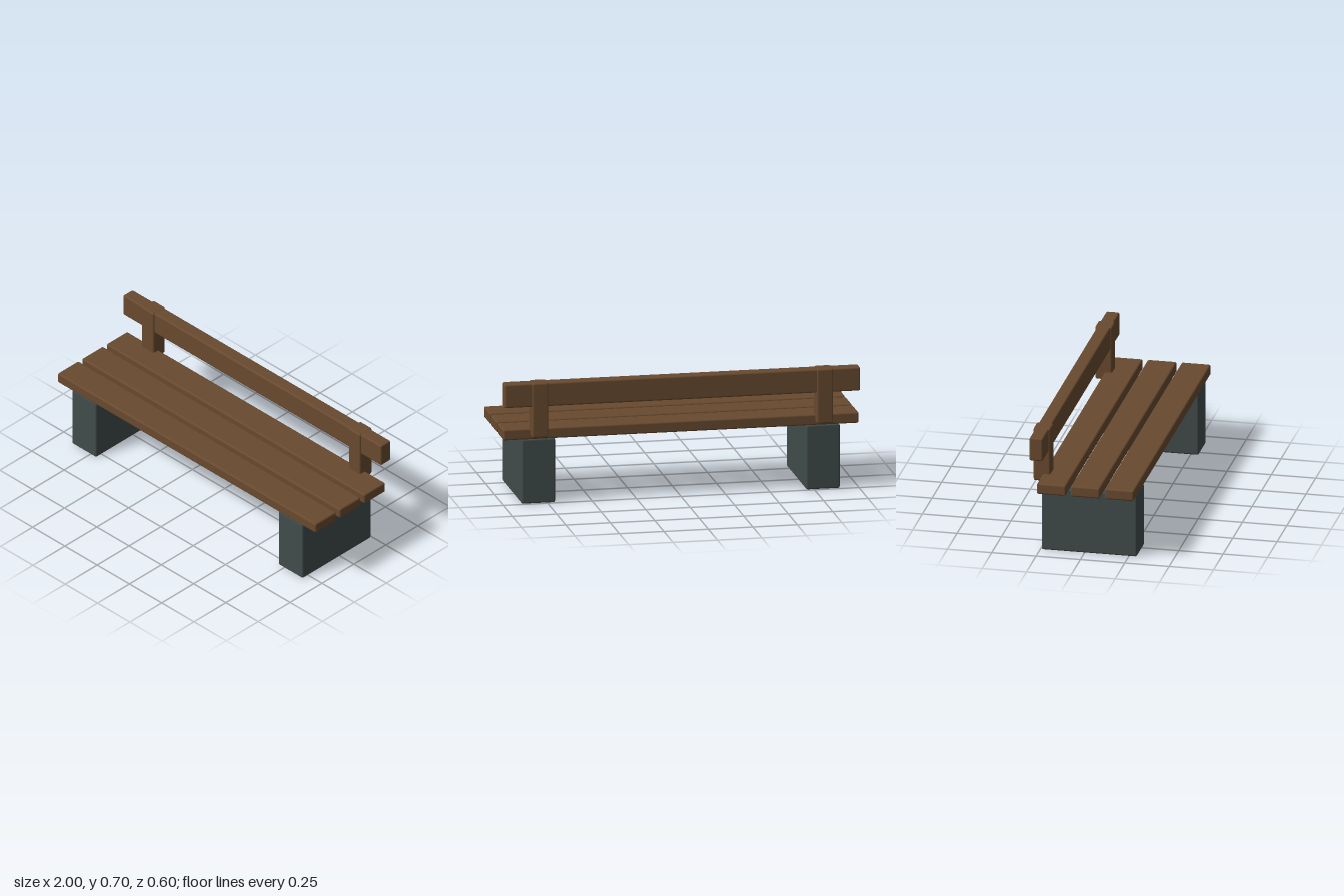
import * as THREE from 'three';
import { RoundedBoxGeometry } from 'three/addons/geometries/RoundedBoxGeometry.js';

export function createModel() {
  const bench = new THREE.Group();
  bench.name = 'bench';

  const wood = new THREE.MeshStandardMaterial({ name: 'brown wood', color: 0x694a2f });
  const stone = new THREE.MeshStandardMaterial({ name: 'dark grey stone', color: 0x404c4b });

  // Softly bevelled block given by its extents on each axis
  function block(name, material, [x0, x1], [y0, y1], [z0, z1], bevel = 0.01) {
    const geometry = new RoundedBoxGeometry(x1 - x0, y1 - y0, z1 - z0, 2, bevel);
    const mesh = new THREE.Mesh(geometry, material);
    mesh.name = name;
    mesh.position.set((x0 + x1) / 2, (y0 + y1) / 2, (z0 + z1) / 2);
    bench.add(mesh);
    return mesh;
  }

  // Three seat planks, front to back
  ['front', 'middle', 'rear'].forEach((place, i) => {
    const z = 0.218 - i * 0.1915;
    block(`${place}SeatPlank`, wood, [-1, 1], [0.366, 0.428], [z - 0.082, z + 0.082]);
  });

  // Backrest rail
  block('backrestRail', wood, [-1, 1], [0.56, 0.694], [-0.289, -0.213]);

  // Foot blocks and backrest posts, mirrored
  for (const [side, s] of [['left', 1], ['right', -1]]) {
    const x = s * 0.8;
    block(`${side}Foot`, stone, [x - 0.095, x + 0.095], [0, 0.366], [-0.242, 0.295]);
    block(`${side}BackrestPost`, wood, [x - 0.046, x + 0.046], [0.385, 0.696], [-0.299, -0.204]);
  }

  return bench;
}
